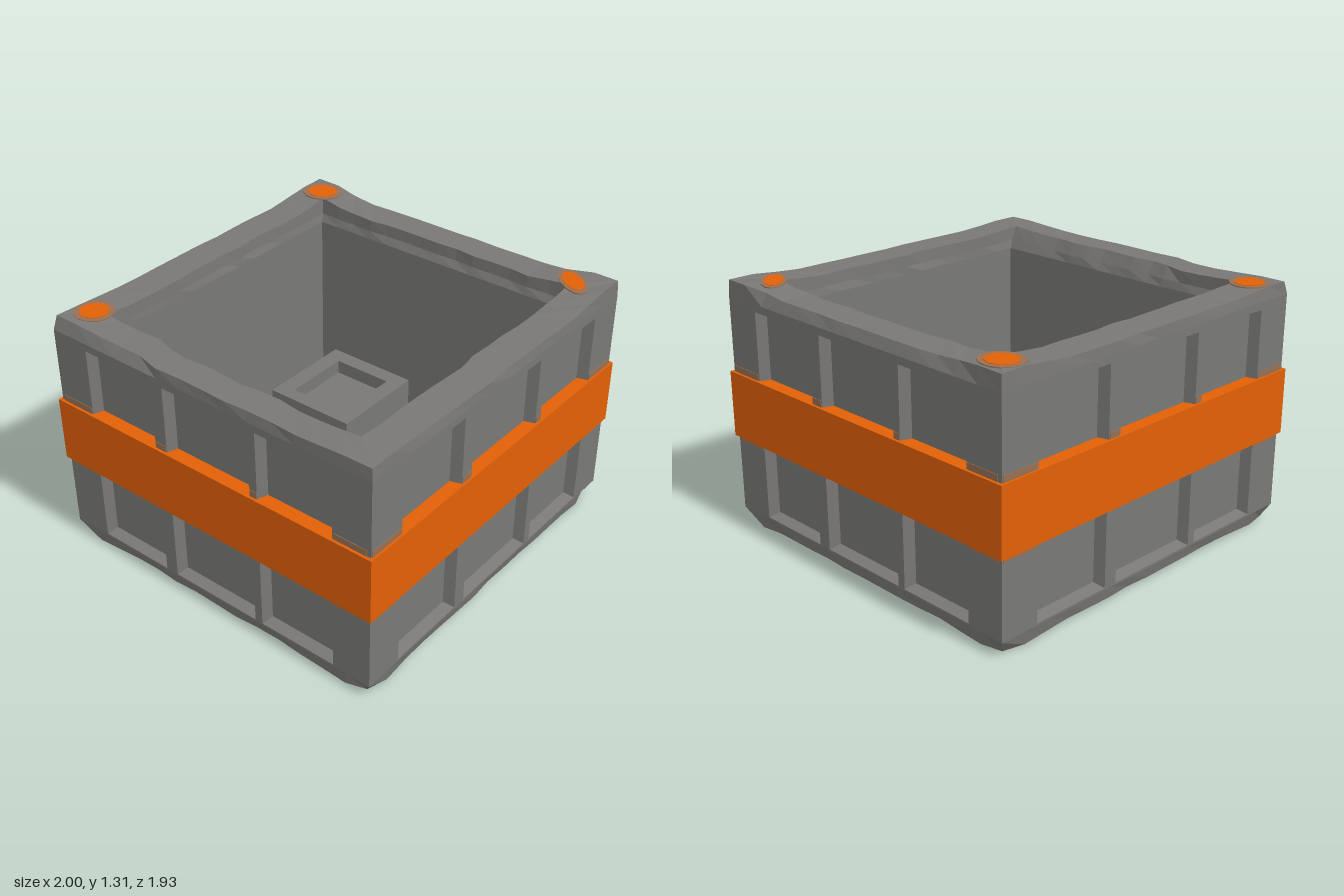
import * as THREE from 'three';

const HX = 0.983, HZ = 0.953, N = 14; // body half sizes, ring points per side

// Repeatable wobble in the range 0..1
const noise = (i) => { const s = Math.sin(i * 12.9898 + 4.1) * 43758.5453; return s - Math.floor(s); };
// 0 along a side, 1 on the raised corner pads
const cornerness = (x, z) => THREE.MathUtils.smoothstep(Math.min(Math.abs(x) / HX, Math.abs(z) / HZ), 0.6, 0.84);
const topY = (x, z) => 1.273 + (x < 0 ? 0.014 : 0.028) * cornerness(x, z);
const bottomY = (x, z) => 0.022 - 0.016 * cornerness(x, z);

// Rectangular ring, counter-clockwise from above; y may be a rule of x and z
function ring(hx, hz, y, wobble = 0, chip = 0) {
  const pts = [];
  for (let s = 0; s < 4; s++) {
    for (let k = 0; k < N; k++) {
      const t = -1 + (2 * k) / N;
      const [u, v] = [[t, 1], [1, -t], [-t, -1], [-1, t]][s];
      const inset = wobble * noise(s * N + k) + (k === 0 ? chip : 0);
      const x = u * (hx - inset), z = v * (hz - inset);
      pts.push(new THREE.Vector3(x, typeof y === 'function' ? y(x, z) : y, z));
    }
  }
  return pts;
}

// Outer rim edge worn inwards on the back of the left side and middle of the right side
function wornOuter(points) {
  for (const p of points) {
    if (p.x < -0.9 && p.z < -0.33) p.x += 0.025;
    if (p.x > 0.9 && Math.abs(p.z) < 0.72) p.x -= 0.022;
  }
  return points;
}

// Inner rim edge worn outwards along the front part of the left side
function wornInner(points) {
  for (const p of points) if (p.x < -0.75 && p.z > -0.33) p.x -= 0.035;
  return points;
}

// Faceted geometry from points and triangles
function faceted(points, idx) {
  const g = new THREE.BufferGeometry().setFromPoints(points);
  g.setIndex(idx);
  const flat = g.toNonIndexed();
  flat.computeVertexNormals();
  return flat;
}

// Skin over a list of rings
function loft(rings) {
  const idx = [], M = 4 * N;
  for (let i = 0; i < rings.length - 1; i++) {
    for (let j = 0; j < M; j++) {
      const a = i * M + j, b = i * M + (j + 1) % M;
      idx.push(a, b, a + M, b, b + M, a + M);
    }
  }
  return faceted(rings.flat(), idx);
}

const rectPoints = (x0, x1, y0, y1) => [[x0, y0], [x1, y0], [x1, y1], [x0, y1]].map(([x, y]) => new THREE.Vector2(x, y));

// Recessed panel: four sloping sides and a sunken face, opening towards +z
function recess(x0, x1, y0, y1, depth = 0.055, inset = 0.018) {
  const outer = rectPoints(x0, x1, y0, y1).map((p) => new THREE.Vector3(p.x, p.y, 0));
  const inner = rectPoints(x0 + inset, x1 - inset, y0 + inset, y1 - inset).map((p) => new THREE.Vector3(p.x, p.y, -depth));
  const idx = [4, 5, 6, 4, 6, 7];
  for (let i = 0; i < 4; i++) {
    const j = (i + 1) % 4;
    idx.push(i, j, i + 4, j, j + 4, i + 4);
  }
  return faceted([...outer, ...inner], idx);
}

export function createModel() {
  const model = new THREE.Group();
  model.name = 'crate';
  const mat = (name, color) => {
    const m = new THREE.MeshStandardMaterial({ color });
    m.name = name;
    return m;
  };
  const gray = mat('gray metal', 0x797876);
  const orange = mat('orange paint', 0xe26006);
  const worn = mat('worn paint', 0x987054);
  gray.side = THREE.DoubleSide;

  const add = (parent, name, geo, material, x = 0, y = 0, z = 0) => {
    const m = new THREE.Mesh(geo, material);
    m.name = name;
    m.position.set(x, y, z);
    parent.add(m);
    return m;
  };

  // Four outer sides with two rows of three sunken panels
  const columns = [[-0.77, -0.325], [-0.25, 0.285], [0.33, 0.775]];
  const rows = [[0.09, 0.5], [0.8, 1.182]];
  ['front', 'right', 'back', 'left'].forEach((label, s) => {
    const side = new THREE.Group();
    side.name = label + 'Side';
    side.rotation.y = s * Math.PI / 2;
    const w = s % 2 ? HZ : HX, d = s % 2 ? HX : HZ;
    const k = s % 2 ? 0.96 : 1;
    const shape = new THREE.Shape(rectPoints(-w, w, 0.08, 1.22));
    for (const [x0, x1] of columns) {
      for (const [y0, y1] of rows) {
        shape.holes.push(new THREE.Path(rectPoints(x0 * k, x1 * k, y0, y1)));
        add(side, 'sunkenPanel', recess(x0 * k, x1 * k, y0, y1), gray, 0, 0, d);
      }
    }
    add(side, 'sideFrame', new THREE.ShapeGeometry(shape), gray, 0, 0, d);

    // Worn paint on the posts beside the band
    for (const [x, width] of [[-0.875, 0.2], [-0.288, 0.065], [0.308, 0.04], [0.875, 0.19]]) {
      add(side, 'paintScuff', new THREE.BoxGeometry(width * k, 0.035, 0.006), worn, x * k, 0.843, d);
      if (Math.abs(x) > 0.5) add(side, 'paintScuff', new THREE.BoxGeometry(width * k, 0.025, 0.006), worn, x * k, 0.472, d);
    }
    model.add(side);
  });

  // Rim, inner lip, inner walls and floor
  add(model, 'rimAndInterior', loft([
    ring(HX, HZ, 1.22),
    wornOuter(ring(HX, HZ, topY, 0.01)),
    wornInner(ring(0.805, 0.785, topY, 0.02)),
    ring(0.80, 0.78, 1.21, 0.015),
    ring(0.775, 0.765, 1.17),
    ring(0.775, 0.765, 0.15),
    ring(0, 0, 0.15),
  ]), gray);

  // Lower frame with chipped corners
  add(model, 'lowerFrame', loft([
    ring(0.87, 0.84, 0.1),
    ring(0.89, 0.86, bottomY, 0.03),
    ring(0.975, 0.945, bottomY, 0.012, 0.03),
    ring(HX, HZ, 0.08),
  ]), gray);

  // Dented underside with a central beam
  const plate = new THREE.PlaneGeometry(1.8, 1.74, 18, 18);
  plate.rotateX(Math.PI / 2);
  const p = plate.attributes.position;
  for (let i = 0; i < p.count; i++) {
    const x = p.getX(i), z = p.getZ(i);
    p.setY(i, 0.095 + 0.03 * Math.sin(x * 8 + 1) * Math.cos(z * 7));
  }
  plate.computeVertexNormals();
  add(model, 'underside', plate, gray);
  add(model, 'undersideBeam', new THREE.BoxGeometry(0.26, 0.07, 1.7), gray, 0.08, 0.09, 0);

  // Hollow square post inside
  const post = new THREE.Shape(rectPoints(-0.24, 0.26, -0.225, 0.25));
  post.holes.push(new THREE.Path(rectPoints(-0.17, 0.18, -0.145, 0.165)));
  const postGeo = new THREE.ExtrudeGeometry(post, { depth: 0.64, bevelEnabled: false });
  postGeo.rotateX(-Math.PI / 2);
  add(model, 'innerPost', postGeo, gray, 0, 0.15, 0);
  const postFloor = new THREE.PlaneGeometry(0.36, 0.32);
  postFloor.rotateX(-Math.PI / 2);
  add(model, 'postRecess', postFloor, gray, 0.005, 0.72, -0.01);

  // Orange band
  const band = new THREE.Shape(rectPoints(-1, 1, -0.967, 0.967));
  band.holes.push(new THREE.Path(rectPoints(-0.91, 0.91, -0.88, 0.88)));
  const bandGeo = new THREE.ExtrudeGeometry(band, { depth: 0.345, bevelEnabled: false });
  bandGeo.rotateX(-Math.PI / 2);
  add(model, 'band', bandGeo, orange, 0, 0.483, 0);

  // Paint marks with a raised chip on three rim corners
  for (const [x, z, rx, rz, turn] of [[-0.82, -0.84, 0.1, 0.1, 0], [0.86, -0.83, 0.1, 0.11, 0.2], [0.835, 0.78, 0.065, 0.13, -0.7]]) {
    const mark = new THREE.Group();
    mark.name = 'cornerPaintMark';
    mark.position.set(x, topY(x, z), z);
    mark.rotation.y = turn;
    add(mark, 'wornEdge', new THREE.CylinderGeometry(1, 1, 0.006, 12), worn).scale.set(rx, 1, rz);
    add(mark, 'paint', new THREE.CylinderGeometry(1, 1, 0.006, 9), orange, 0, 0.002, 0).scale.set(rx * 0.75, 1, rz * 0.75);
    add(mark, 'chip', new THREE.ConeGeometry(0.04, 0.01, 3).toNonIndexed(), orange, 0, 0.008, 0);
    model.add(mark);
  }

  // Small paint marks under the two back corners
  for (const [x, z] of [[0.91, -0.84], [-0.8, -0.89]]) {
    add(model, 'lowerPaintMark', new THREE.CylinderGeometry(0.035, 0.035, 0.009, 8), orange, x, bottomY(x, z), z);
  }
  return model;
}
